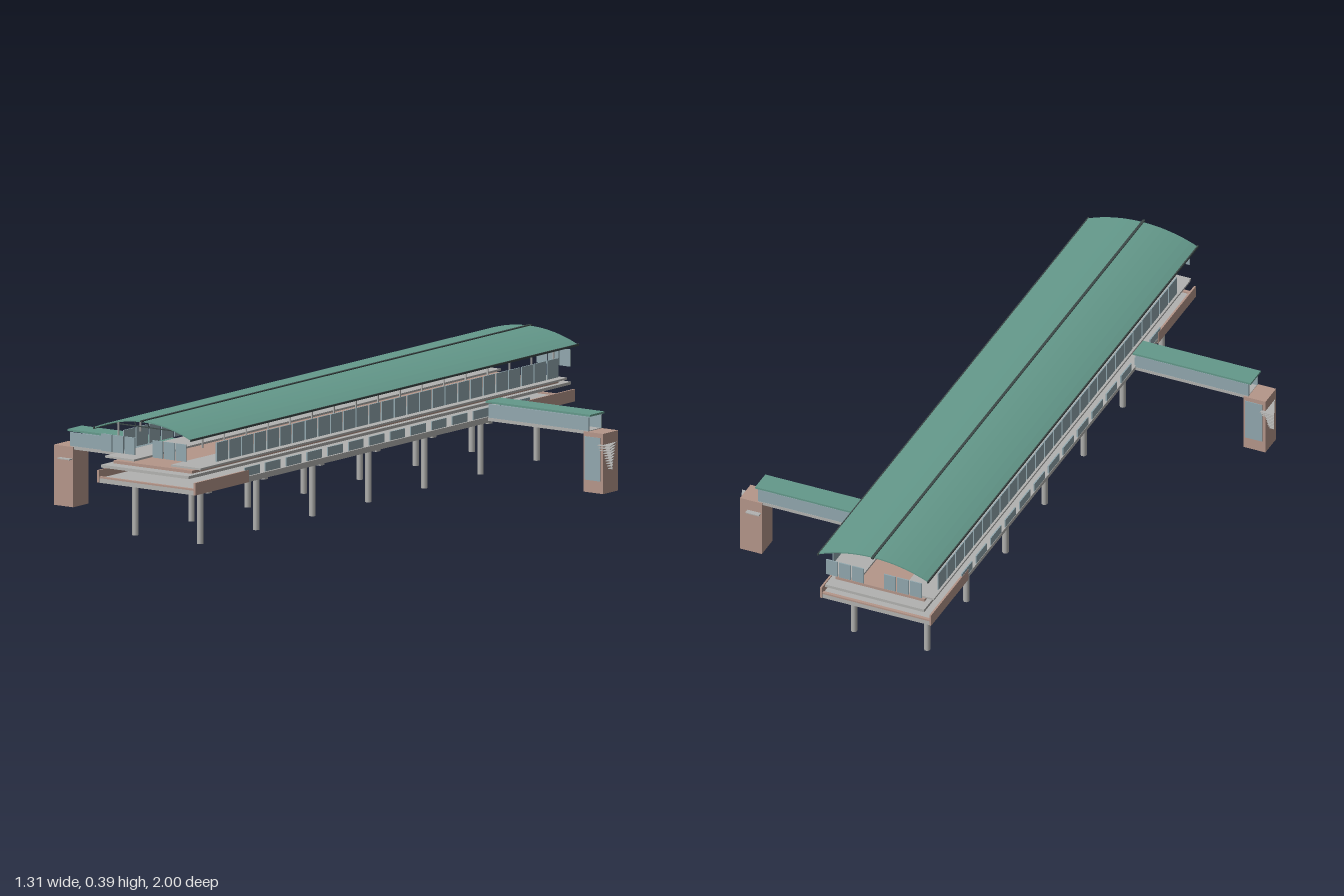
import * as THREE from 'three';

const mat = (name, color, double) => {
  const m = new THREE.MeshStandardMaterial({ color });
  m.name = name;
  if (double) m.side = THREE.DoubleSide;
  return m;
};
const green = mat('green roof', 0x64998b, true);
const brick = mat('brick', 0xb5968a);
const glass = mat('glass', 0x92a8af);
const concrete = mat('concrete', 0xb2b2b0);
const dark = mat('dark trim', 0x3c4847);

// Box given by its min and max on each axis
function box(parent, name, m, [x0, x1], [y0, y1], [z0, z1]) {
  const mesh = new THREE.Mesh(new THREE.BoxGeometry(x1 - x0, y1 - y0, z1 - z0), m);
  mesh.position.set((x0 + x1) / 2, (y0 + y1) / 2, (z0 + z1) / 2);
  mesh.name = name;
  parent.add(mesh);
  return mesh;
}

// Thin bar between two points in an x-y plane
function bar(parent, name, m, x0, y0, x1, y1, z, t) {
  const mesh = new THREE.Mesh(new THREE.BoxGeometry(Math.hypot(x1 - x0, y1 - y0), t, t), m);
  mesh.position.set((x0 + x1) / 2, (y0 + y1) / 2, z);
  mesh.rotation.z = Math.atan2(y1 - y0, x1 - x0);
  mesh.name = name;
  parent.add(mesh);
}

const R = 0.458, TOP = 0.384;
const arcY = x => TOP - R + Math.sqrt(R * R - x * x);

function roof() {
  const g = new THREE.Group();
  g.name = 'roof';
  // Curved shell, extruded along the building
  const shape = new THREE.Shape();
  const n = 16;
  for (let i = 0; i <= n; i++) {
    const x = -0.183 + 0.366 * i / n;
    i ? shape.lineTo(x, arcY(x)) : shape.moveTo(x, arcY(x));
  }
  for (let i = n; i >= 0; i--) {
    const x = -0.183 + 0.366 * i / n;
    shape.lineTo(x, arcY(x) - 0.004);
  }
  const geo = new THREE.ExtrudeGeometry(shape, { depth: 1.98, bevelEnabled: false });
  geo.translate(0, 0, -0.99);
  const shell = new THREE.Mesh(geo, green);
  shell.name = 'roofShell';
  g.add(shell);
  // Ridge cap and eaves
  box(g, 'ridgeCap', dark, [-0.004, 0.004], [TOP - 0.002, TOP + 0.003], [-1, 1]);
  for (const s of [-1, 1])
    box(g, 'eave', dark, [s * 0.183 - 0.002, s * 0.183 + 0.002], [0.341, 0.347], [-0.995, 0.995]);
  // Trusses with struts and short posts
  for (let i = 0; i < 17; i++) {
    const z = -0.9 + i * 0.1125;
    box(g, 'trussTie', dark, [-0.165, 0.165], [0.344, 0.347], [z - 0.0015, z + 0.0015]);
    for (const s of [-1, 1]) {
      for (const x of [0.05, 0.1])
        bar(g, 'strut', dark, s * (x - 0.007), 0.346, s * x, arcY(x) - 0.004, z, 0.002);
      box(g, 'roofPost', concrete, [s * 0.158 - 0.002, s * 0.158 + 0.002], [0.305, 0.355], [z - 0.002, z + 0.002]);
    }
  }
  return g;
}

function station() {
  const g = new THREE.Group();
  g.name = 'station';
  // Support columns and cross beams
  const column = new THREE.CylinderGeometry(0.01, 0.01, 0.165, 8);
  column.rotateY(Math.PI / 8);
  for (let i = -3; i <= 3; i++) {
    const z = i * 0.2875;
    for (const s of [-1, 1]) {
      const c = new THREE.Mesh(column, concrete);
      c.position.set(s * 0.122, 0.0825, z);
      c.name = 'column';
      g.add(c);
    }
    box(g, 'crossBeam', concrete, [-0.16, 0.16], [0.16, 0.172], [z - 0.01, z + 0.01]);
  }
  // Lower deck with brick lip, and the upper floor
  box(g, 'lowerDeck', concrete, [-0.18, 0.18], [0.171, 0.185], [-0.97, 0.97]);
  for (const s of [-1, 1])
    box(g, 'brickLip', brick, [-0.18, 0.18], [0.185, 0.19], [s * 0.965 - 0.005, s * 0.965 + 0.005]);
  box(g, 'upperFloor', concrete, [-0.165, 0.165], [0.221, 0.23], [-0.98, 0.98]);
  box(g, 'trackBed', brick, [-0.148, 0.148], [0.23, 0.239], [-0.94, 0.94]);
  for (const s of [-1, 1]) {
    const x = s * 0.182, span = (c, t) => [c - t, c + t];
    box(g, 'platform', concrete, span(s * 0.125, 0.055), [0.244, 0.25], [-0.94, 0.94]);
    // Brick parapets at both ends of each side
    for (const e of [-1, 1])
      box(g, 'brickParapet', brick, span(x, 0.003), [0.172, 0.21], span(e * 0.835, 0.138));
    box(g, 'sideSill', concrete, span(x, 0.002), [0.178, 0.19], [-0.7, 0.7]);
    // Lower windows
    for (let i = 0; i < 14; i++)
      box(g, 'lowerWindow', glass, span(x, 0.002), [0.192, 0.219], span(0.679 - i * 0.1065, 0.038));
    // Platform windows
    for (let i = 0; i < 27; i++)
      box(g, 'platformWindow', glass, span(s * 0.175, 0.002), [0.257, 0.316], span(0.823 - i * 0.0652, 0.029));
    // End windows
    for (const e of [-1, 1])
      for (let i = 0; i < 3; i++)
        box(g, 'endWindow', glass, span(s * (0.053 + i * 0.0435), 0.0195), [0.275, 0.328], span(e * 0.985, 0.002));
  }
  return g;
}

function walkway() {
  const g = new THREE.Group();
  g.name = 'walkway';
  const z0 = -0.6, z1 = -0.53;
  // Bridge
  box(g, 'bridgeFloor', concrete, [0.18, 0.56], [0.178, 0.188], [z0, z1]);
  box(g, 'bridgeRoof', green, [0.175, 0.57], [0.233, 0.239], [z0 - 0.002, z1 + 0.002]);
  for (const z of [z0 + 0.003, z1 - 0.003])
    box(g, 'bridgeGlass', glass, [0.185, 0.562], [0.188, 0.23], [z - 0.002, z + 0.002]);
  // Stair tower with a glazed face
  box(g, 'tower', brick, [0.547, 0.62], [0, 0.186], [-0.604, -0.526]);
  box(g, 'towerGlass', glass, [0.552, 0.61], [0.038, 0.172], [-0.527, -0.524]);
  // Slatted fin stepping down the outer corner
  for (let i = 0; i < 10; i++) {
    const t = i / 9, w = 0.024 - 0.016 * t, y = 0.15 - t * 0.075;
    const tri = new THREE.Shape([
      new THREE.Vector2(0.63 - w, 0.515 + 0.035 * t),
      new THREE.Vector2(0.63 + w, 0.515 + 0.035 * t),
      new THREE.Vector2(0.62, 0.595 - 0.02 * t)]);
    const geo = new THREE.ExtrudeGeometry(tri, { depth: 0.002, bevelEnabled: false });
    geo.rotateX(-Math.PI / 2);
    const slat = new THREE.Mesh(geo, concrete);
    slat.position.y = y;
    slat.name = 'finSlat';
    g.add(slat);
  }
  // Small ledge on the rear of the tower
  box(g, 'towerLedge', concrete, [0.55, 0.595], [0.147, 0.15], [-0.62, -0.603]);
  return g;
}

export function createModel() {
  const model = new THREE.Group();
  model.name = 'elevatedStation';
  model.add(station(), roof());
  // Two walkways, one on each side, turned half way round
  const right = walkway(), left = walkway();
  left.rotation.y = Math.PI;
  model.add(right, left);
  return model;
}
